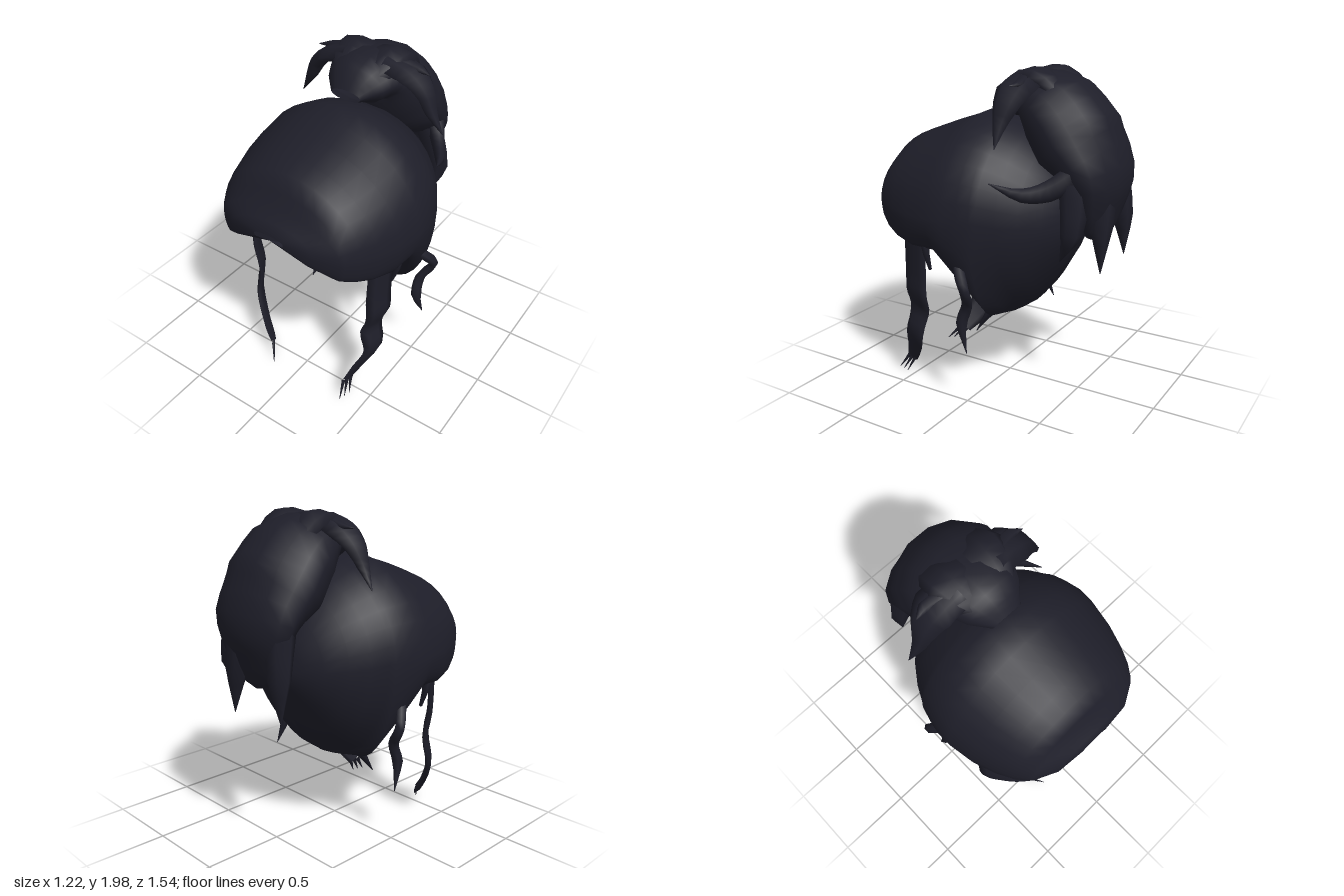
import * as THREE from 'three';

const darkHair = new THREE.MeshStandardMaterial({ color: 0x1e1e29, side: THREE.DoubleSide });
darkHair.name = 'dark hair';

// Joins equal-length rows of points into one smooth surface.
function skin(rows, closed) {
  const n = rows[0].length, pos = rows.flat(2), index = [];
  for (let i = 0; i < rows.length - 1; i++) {
    for (let j = 0; j < (closed ? n : n - 1); j++) {
      const k = (j + 1) % n;
      const a = i * n + j, b = i * n + k, c = a + n, d = b + n;
      index.push(a, b, c, b, d, c);
    }
  }
  const geo = new THREE.BufferGeometry();
  geo.setAttribute('position', new THREE.Float32BufferAttribute(pos, 3));
  geo.setIndex(index);
  geo.computeVertexNormals();
  return geo;
}

// Flat-faced fan of triangles from one apex along a rim.
function fan(apex, rim) {
  const pos = [];
  for (let i = 0; i < rim.length - 1; i++) pos.push(...apex, ...rim[i + 1], ...rim[i]);
  const geo = new THREE.BufferGeometry();
  geo.setAttribute('position', new THREE.Float32BufferAttribute(pos, 3));
  geo.computeVertexNormals();
  return geo;
}

// A lock of hair: points are [x, y, z, halfWidth, halfThickness]; side is the width direction.
function lock(points, side, sides = 6, steps = 3) {
  const path = new THREE.CatmullRomCurve3(points.map(p => new THREE.Vector3(p[0], p[1], p[2])));
  const total = (points.length - 1) * steps, rows = [];
  for (let i = 0; i <= total; i++) {
    const s = i / total, f = s * (points.length - 1);
    const k = Math.min(Math.floor(f), points.length - 2), m = f - k;
    const w = THREE.MathUtils.lerp(points[k][3], points[k + 1][3], m);
    const t = THREE.MathUtils.lerp(points[k][4], points[k + 1][4], m);
    const c = path.getPoint(s), T = path.getTangent(s);
    const u = new THREE.Vector3(...side);
    u.addScaledVector(T, -T.dot(u)).normalize();
    const v = T.clone().cross(u);
    const row = [];
    for (let j = 0; j < sides; j++) {
      const a = j / sides * Math.PI * 2;
      row.push(c.clone().addScaledVector(u, w * Math.cos(a)).addScaledVector(v, t * Math.sin(a)).toArray());
    }
    rows.push(row);
  }
  return skin(rows, true);
}

const mirror = points => points.map(([x, ...rest]) => [-x, ...rest]);

export function createModel() {
  const group = new THREE.Group();
  const add = (name, geo) => {
    const mesh = new THREE.Mesh(geo, darkHair);
    mesh.name = name;
    group.add(mesh);
  };
  const pair = (name, points, side, sides) => {
    add(name + 'Left', lock(points, side, sides));
    add(name + 'Right', lock(mirror(points), [-side[0], side[1], side[2]], sides));
  };

  // Scalp shell: [z, top, half width, widest y, edge x, edge y]
  const slices = [
    [0.78, 1.25, 0.1, 1.23, 0.09, 1.21], [0.76, 1.33, 0.28, 1.21, 0.25, 1.14],
    [0.69, 1.38, 0.41, 1.18, 0.37, 1.06], [0.67, 1.47, 0.43, 1.18, 0.39, 1.04],
    [0.6, 1.55, 0.48, 1.17, 0.44, 1.01], [0.5, 1.59, 0.53, 1.16, 0.49, 0.98],
    [0.36, 1.64, 0.58, 1.15, 0.52, 0.95], [0.2, 1.69, 0.61, 1.15, 0.5, 0.94],
    [0.1, 1.73, 0.61, 1.15, 0.44, 0.8], [0, 1.71, 0.59, 1.15, 0.39, 0.66],
    [-0.07, 1.69, 0.57, 1.15, 0.28, 0.51], [-0.1, 1.67, 0.55, 1.15, 0, 0.47],
    [-0.2, 1.62, 0.5, 1.13, 0, 0.54], [-0.3, 1.54, 0.43, 1.12, 0, 0.66],
    [-0.4, 1.42, 0.33, 1.11, 0, 0.83], [-0.47, 1.3, 0.2, 1.1, 0, 0.97],
    [-0.5, 1.14, 0.02, 1.1, 0, 1.07],
  ];
  add('scalpHair', skin(slices.map(([z, top, w, mid, ex, ey]) => {
    const half = [];
    for (let j = 0; j <= 16; j++) {
      const a = j / 8 * Math.PI / 2;
      if (j <= 8) half.push([w * Math.sin(a), mid + (top - mid) * Math.cos(a), z]);
      else half.push([ex + (w - ex) * Math.sin(a), mid + (mid - ey) * Math.cos(a), z]);
    }
    return [...mirror(half).reverse(), ...half.slice(1)];
  }), false));

  // Underside closing the shell, fanned from the middle of the hairline
  const rim = slices.slice(0, 12).map(([z, , , , ex, ey]) => [ex, ey, z]);
  add('underside', fan([0, 1.21, 0.77], [...rim, ...mirror(rim).reverse()]));

  // Gathered tail arching over the crown and down the back
  add('tail', lock([
    [0, 1.78, 0.05, 0.1, 0.04], [0, 1.81, -0.05, 0.19, 0.12], [0, 1.83, -0.18, 0.25, 0.15],
    [0, 1.74, -0.34, 0.32, 0.23], [0, 1.58, -0.47, 0.34, 0.25], [0, 1.4, -0.61, 0.32, 0.16],
    [0, 1.2, -0.62, 0.25, 0.1], [0, 1.05, -0.61, 0.16, 0.05], [0, 1, -0.61, 0.02, 0.01],
  ], [1, 0, 0], 14));

  // Two raised tufts on top of the tail
  pair('crownTuft', [
    [0.06, 1.83, 0, 0.04, 0.03], [0.1, 1.9, -0.14, 0.12, 0.06],
    [0.12, 1.93, -0.28, 0.14, 0.06], [0.14, 1.8, -0.44, 0.08, 0.05],
  ], [1, 0, 0], 8);

  // Loose ends below the tail
  const tips = [
    [[-0.2, 1.4, -0.6], [-0.24, 1.1, -0.65], [-0.26, 0.85, -0.66]],
    [[0.06, 1.4, -0.65], [0.11, 1.1, -0.67], [0.13, 0.84, -0.68]],
    [[0.22, 1.4, -0.55], [0.29, 1.1, -0.57], [0.29, 0.93, -0.5]],
  ];
  for (const [a, b, c] of tips) {
    add('tailTip', lock([[...a, 0.1, 0.09], [...b, 0.08, 0.06], [...c, 0.002, 0.002]], [1, 0, 0]));
  }

  // Locks falling outward beside the crown, each with a small upper hook
  pair('crownLock', [
    [0.12, 1.92, -0.2, 0.12, 0.06], [0.28, 1.88, -0.21, 0.13, 0.05], [0.37, 1.8, -0.2, 0.09, 0.04],
    [0.42, 1.7, -0.19, 0.05, 0.03], [0.5, 1.57, -0.2, 0.002, 0.002],
  ], [0, 0, 1]);
  pair('crownHook', [
    [0.2, 1.93, -0.22, 0.05, 0.03], [0.3, 1.91, -0.24, 0.04, 0.02], [0.38, 1.9, -0.22, 0.002, 0.002],
  ], [0, 0, 1]);

  // Wisp swept forward from the tail on the left
  add('sweptWisp', lock([
    [0.26, 1.42, -0.56, 0.07, 0.06], [0.35, 1.34, -0.45, 0.06, 0.04],
    [0.43, 1.32, -0.33, 0.04, 0.03], [0.5, 1.38, -0.16, 0.002, 0.002],
  ], [0, 1, 0]));

  // Long flat strands framing the face, each ending in a fork
  const strands = [
    ['faceStrandRight', [-0.6, 0, -0.8], [[-0.47, 1.04, 0.38, 0.11, 0.02], [-0.46, 0.75, 0.39, 0.11, 0.02],
      [-0.43, 0.57, 0.39, 0.11, 0.02], [-0.44, 0.38, 0.42, 0.1, 0.02], [-0.34, 0.19, 0.49, 0.08, 0.015],
      [-0.25, 0.09, 0.54, 0.05, 0.01]], [-0.2, 0.01, 0.6]],
    ['faceStrandLeft', [0.25, 0, -0.97], [[0.48, 1.04, 0.38, 0.1, 0.02], [0.47, 0.75, 0.39, 0.1, 0.02],
      [0.47, 0.62, 0.39, 0.1, 0.02], [0.43, 0.5, 0.4, 0.09, 0.02], [0.46, 0.36, 0.42, 0.08, 0.02],
      [0.39, 0.2, 0.49, 0.06, 0.015], [0.35, 0.11, 0.54, 0.045, 0.01]], [0.37, 0.01, 0.6]],
  ];
  for (const [name, side, points, tip] of strands) {
    add(name, lock(points, side));
    const end = points[points.length - 1];
    for (const k of [-1, 0, 1]) {
      const shift = (p, d) => p.map((v, i) => v + side[i] * d * k);
      add(name + 'Tip', lock([
        [...shift(end.slice(0, 3), 0.03), 0.018, 0.01], [...shift(tip, 0.04), 0.002, 0.002],
      ], side, 4));
    }
  }

  // Short bent wisps by the ears
  pair('earWisp', [
    [0.48, 0.93, 0.06, 0.04, 0.03], [0.55, 0.85, 0.01, 0.035, 0.025], [0.59, 0.76, -0.05, 0.035, 0.025],
    [0.52, 0.64, -0.02, 0.035, 0.03], [0.52, 0.52, 0.02, 0.04, 0.03], [0.545, 0.35, -0.03, 0.002, 0.002],
  ], [0, 0, 1]);

  // Stubby strand behind each face strand
  pair('templeWisp', [
    [0.5, 1.02, 0.27, 0.03, 0.03], [0.52, 0.95, 0.27, 0.025, 0.025], [0.48, 0.8, 0.27, 0.01, 0.01],
  ], [0, 0, 1]);

  // Spikes at the nape
  pair('napeSpike', [
    [0.2, 0.58, -0.06, 0.08, 0.03], [0.22, 0.49, 0.01, 0.05, 0.025], [0.245, 0.35, 0.1, 0.002, 0.002],
  ], [1, 0, 0]);

  return group;
}
